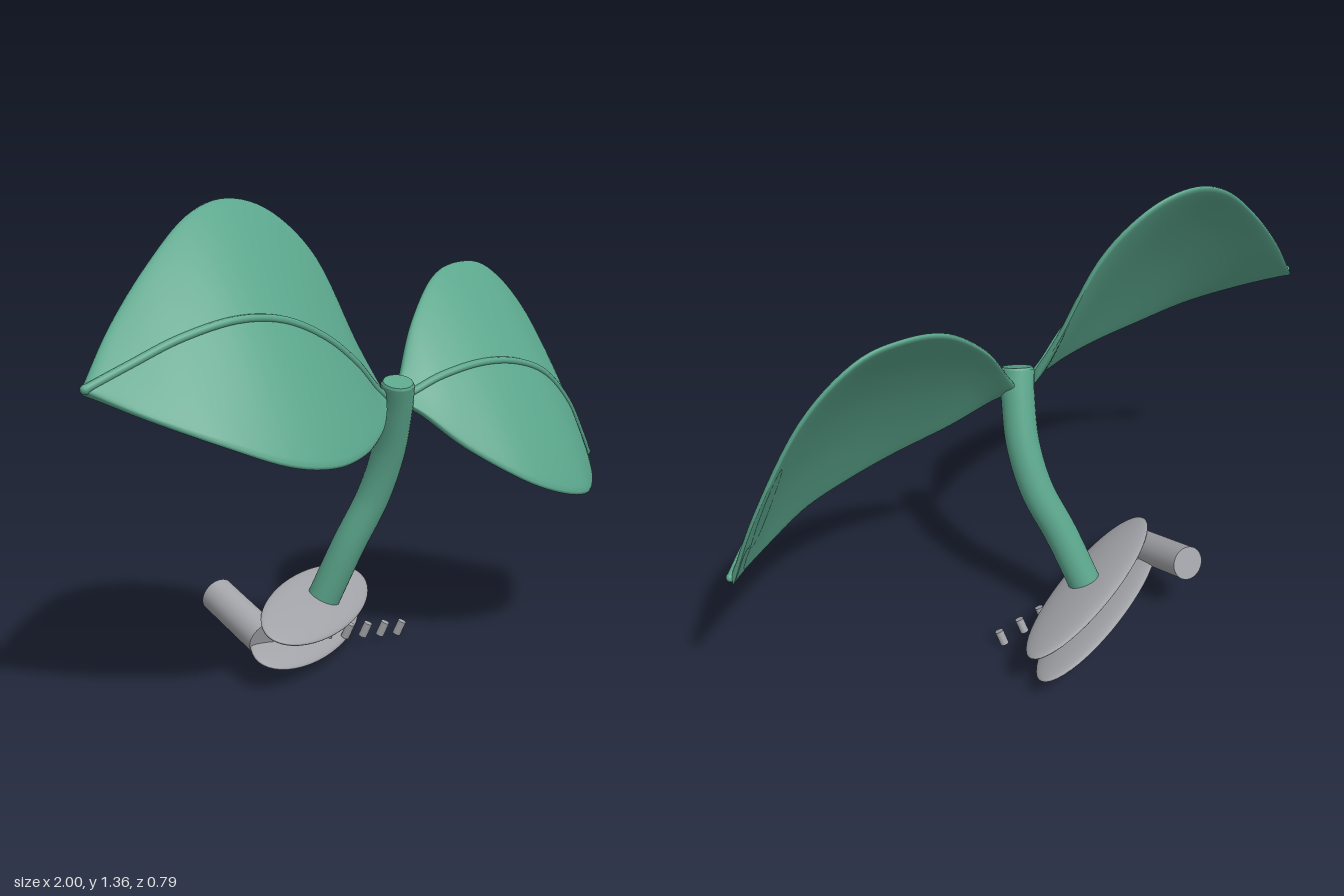
import * as THREE from 'three';

const V = (x, y, z) => new THREE.Vector3(x, y, z);

// The stem and both midribs lie in one plane leaning towards the front
const leanZ = (y) => -0.19 + 0.336 * y;

// Leaf stations, from high x to low x: [x, midY, backY, backZ, frontY, frontZ]
const LEFT_LEAF = [
  [0.985, 0.515, 0.52, -0.025, 0.508, -0.012],
  [0.92, 0.59, 0.745, -0.085, 0.49, 0.06],
  [0.80, 0.715, 1.01, -0.15, 0.468, 0.175],
  [0.65, 0.82, 1.15, -0.172, 0.465, 0.285],
  [0.50, 0.867, 1.17, -0.155, 0.49, 0.322],
  [0.35, 0.873, 1.125, -0.11, 0.545, 0.305],
  [0.20, 0.845, 1.0, -0.035, 0.645, 0.215],
  [0.10, 0.805, 0.865, 0.03, 0.745, 0.13],
  [0.05, 0.79, 0.80, 0.07, 0.78, 0.09],
];
const RIGHT_LEAF = [
  [-0.01, 0.80, 0.82, 0.07, 0.79, 0.09],
  [-0.06, 0.835, 0.97, 0.005, 0.76, 0.15],
  [-0.15, 0.91, 1.2, -0.055, 0.727, 0.235],
  [-0.28, 0.99, 1.33, -0.09, 0.698, 0.325],
  [-0.43, 1.045, 1.367, -0.09, 0.688, 0.385],
  [-0.58, 1.053, 1.32, -0.057, 0.71, 0.387],
  [-0.74, 1.015, 1.195, 0.0, 0.772, 0.33],
  [-0.88, 0.955, 1.05, 0.05, 0.838, 0.23],
  [-0.99, 0.905, 0.91, 0.105, 0.9, 0.118],
];

const spline = (pts) => new THREE.CatmullRomCurve3(pts, false, 'catmullrom', 0.5);

// Blade: a thin rounded section lofted between back edge, midrib and front edge
function bladeGeometry(rows) {
  const mid = spline(rows.map(([x, y]) => V(x, y, leanZ(y))));
  const back = spline(rows.map((r) => V(r[0], r[2], r[3])));
  const front = spline(rows.map((r) => V(r[0], r[4], r[5])));
  const normal = V(0, 0.57, 0.82);
  const steps = 48, ring = 40, half = 0.013;
  const pos = [], idx = [];
  for (let i = -1; i <= steps + 1; i++) {
    const t = Math.min(Math.max(i / steps, 0), 1);
    const size = i < 0 || i > steps ? 0 : 1; // closes the two ends
    const m = mid.getPoint(t), b = back.getPoint(t), f = front.getPoint(t);
    const slope = f.clone().sub(b).multiplyScalar(0.5);
    const bend = f.clone().add(b).multiplyScalar(0.5).sub(m);
    for (let j = 0; j < ring; j++) {
      const a = (j / ring) * Math.PI * 2;
      const s = Math.cos(a) * size, h = Math.sin(a);
      const lift = Math.sign(h) * Math.pow(Math.abs(h), 0.4) * half * size - 0.01;
      const p = m.clone().addScaledVector(slope, s).addScaledVector(bend, s * s).addScaledVector(normal, lift);
      pos.push(p.x, p.y, p.z);
    }
  }
  for (let i = 0; i < steps + 2; i++) {
    for (let j = 0; j < ring; j++) {
      const a = i * ring + j, b = i * ring + ((j + 1) % ring);
      idx.push(a, b, a + ring, b, b + ring, a + ring);
    }
  }
  const g = new THREE.BufferGeometry();
  g.setAttribute('position', new THREE.Float32BufferAttribute(pos, 3));
  g.setIndex(idx);
  g.computeVertexNormals();
  return g;
}

export function createModel() {
  const model = new THREE.Group();
  model.name = 'sprout';
  const green = new THREE.MeshStandardMaterial({ color: 0x5ba68c });
  green.name = 'leaf green';
  const grey = new THREE.MeshStandardMaterial({ color: 0xa3a4a9 });
  grey.name = 'base grey';

  const add = (name, geometry, material, parent = model) => {
    const mesh = new THREE.Mesh(geometry, material);
    mesh.name = name;
    parent.add(mesh);
    return mesh;
  };

  // Leaves with a raised midrib
  for (const [name, rows] of [['leftLeaf', LEFT_LEAF], ['rightLeaf', RIGHT_LEAF]]) {
    const leaf = new THREE.Group();
    leaf.name = name;
    model.add(leaf);
    add('blade', bladeGeometry(rows), green, leaf);
    const path = spline(rows.map(([x, y]) => V(x, y, leanZ(y))));
    add('midrib', new THREE.TubeGeometry(path, 60, 0.012, 10), green, leaf);
    const tip = rows === LEFT_LEAF ? rows[0] : rows[rows.length - 1];
    add('midribTip', new THREE.SphereGeometry(0.013, 12, 8), green, leaf)
      .position.set(tip[0], tip[1], leanZ(tip[1]));
  }

  // Curved stem with a capped top
  const stemPath = spline([[-0.075, 0.15], [-0.02, 0.33], [0.035, 0.48], [0.055, 0.62], [0.045, 0.75], [0.03, 0.835]]
    .map(([x, y]) => V(x, y, leanZ(y))));
  add('stem', new THREE.TubeGeometry(stemPath, 48, 0.05, 24), green);
  const cap = add('stemCap', new THREE.CylinderGeometry(0.044, 0.05, 0.012, 24), green);
  cap.position.copy(stemPath.getPoint(1));
  cap.quaternion.setFromUnitVectors(V(0, 1, 0), stemPath.getTangent(1));

  // Two slanted lens-shaped plates
  const u = V(0.83, 0, -0.56).normalize();
  const n = V(0.228, 0.914, 0.338).normalize();
  const w = u.clone().cross(n).normalize();
  const tilt = new THREE.Quaternion().setFromRotationMatrix(new THREE.Matrix4().makeBasis(u, n, w));
  const top = V(-0.088, 0.155, -0.14);
  for (const [name, drop] of [['upperPlate', 0], ['lowerPlate', 0.08]]) {
    const plate = add(name, new THREE.SphereGeometry(1, 48, 24), grey);
    plate.scale.set(0.396, 0.0235, 0.122);
    plate.quaternion.copy(tilt);
    plate.position.copy(top).addScaledVector(n, -drop);
  }

  // Row of small pegs running out from between the plates
  const pegs = new THREE.Group();
  pegs.name = 'pegRow';
  model.add(pegs);
  for (let i = 0; i < 8; i++) {
    const peg = add('peg', new THREE.CylinderGeometry(0.013, 0.013, 0.046, 12), grey, pegs);
    peg.position.set(0.2 - 0.074 * i, 0.03 + 0.0125 * i, -0.092 + 0.005 * i);
    peg.quaternion.copy(tilt);
  }

  // Stubby cylinder beside the plates, pointing back and slightly up
  const knob = add('sideCylinder', new THREE.CylinderGeometry(0.052, 0.052, 0.25, 32), grey);
  knob.position.set(-0.368, 0.163, -0.145);
  knob.quaternion.setFromUnitVectors(V(0, 1, 0), V(0, 0.319, -0.948).normalize());

  return model;
}
